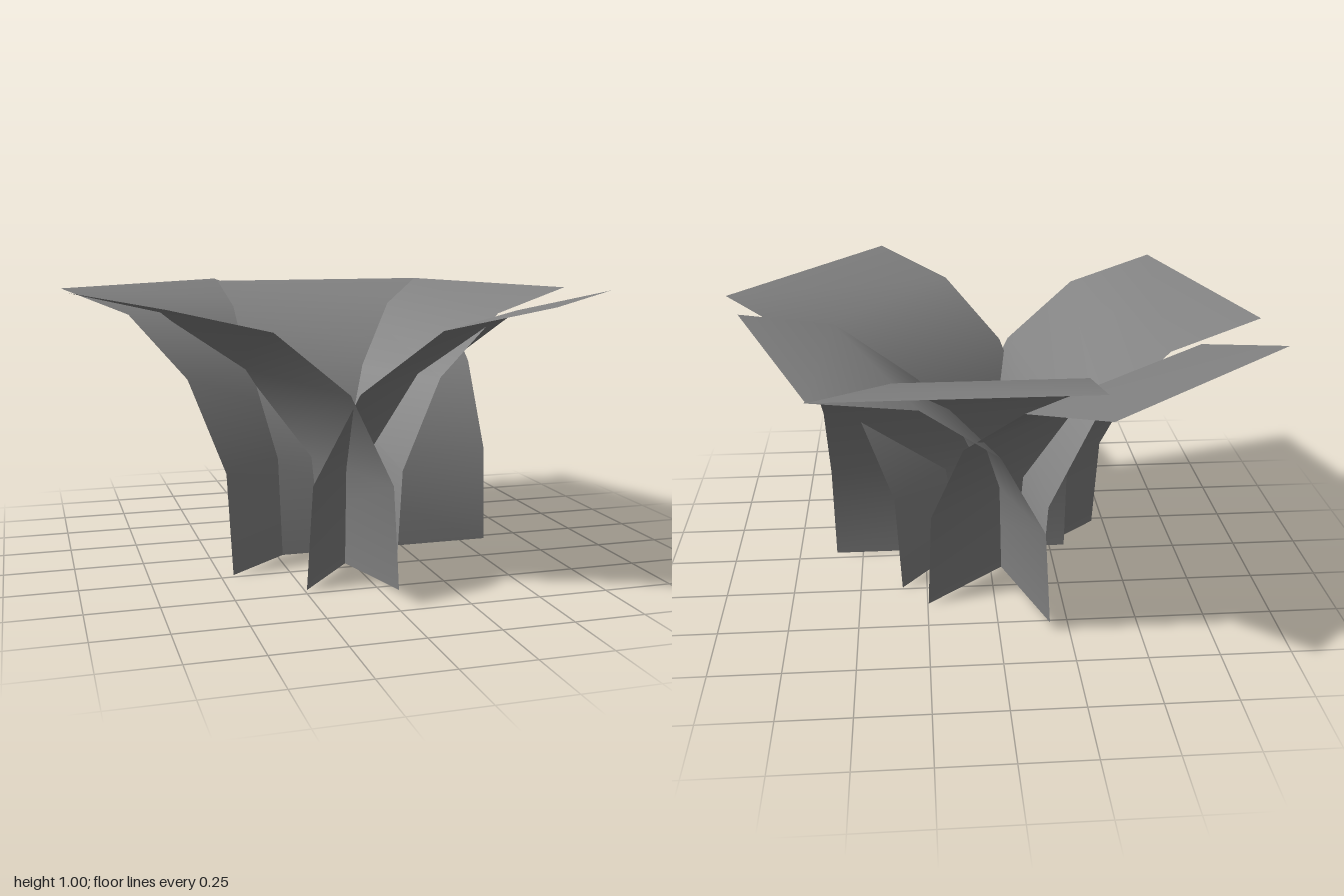
import * as THREE from 'three';

const WIDTH = 0.914;
// Side profile of one sheet, top to bottom: [height, distance in from the rim]
const PROFILE = [[1, 0], [0.915, 0.355], [0.695, 0.637], [0.37, 0.81], [0, 0.835]];

// Sheet bent along the profile; the middle of its rim is at the origin and it flares towards +z
function bentSheet() {
  const geometry = new THREE.PlaneGeometry(WIDTH, 1, 1, PROFILE.length - 1);
  const position = geometry.attributes.position;
  for (let i = 0; i < position.count; i++) {
    const [height, inset] = PROFILE[Math.floor(i / 2)];
    position.setY(i, height);
    position.setZ(i, -inset);
  }
  geometry.computeVertexNormals();
  return geometry;
}

export function createModel() {
  const model = new THREE.Group();
  model.name = 'flaredSheets';
  const geometry = bentSheet();
  const material = new THREE.MeshStandardMaterial({ color: 0x828282, side: THREE.DoubleSide });

  // Rim midpoint x, z and heading in degrees of each sheet
  const sheets = [
    ['backSheet', 0.147, -0.797, 180],
    ['leftSheet', 0.754, -0.369, 110],
    ['frontLeftSheet', 0.693, 0.644, 50.3],
    ['rightSheet', -0.86, 0.324, -75],
    ['backRightSheet', -0.64, -0.705, -140],
  ];
  for (const [name, x, z, heading] of sheets) {
    const sheet = new THREE.Mesh(geometry, material);
    sheet.name = name;
    sheet.position.set(x, 0, z);
    sheet.rotation.y = THREE.MathUtils.degToRad(heading);
    model.add(sheet);
  }
  return model;
}
